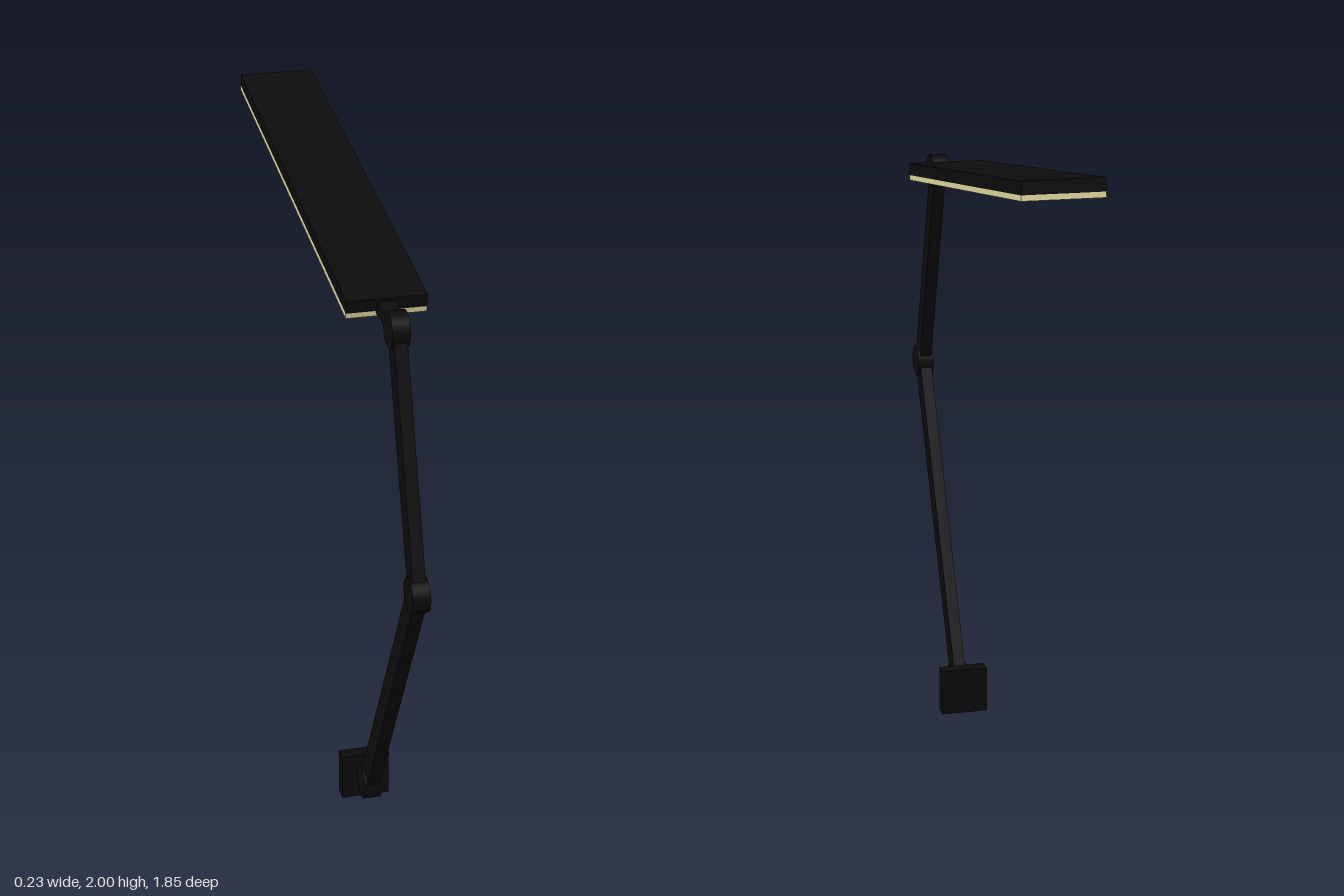
import * as THREE from 'three';

const black = new THREE.MeshStandardMaterial({ color: 0x0c0c0c });
const cream = new THREE.MeshStandardMaterial({ color: 0xe6dfa6 });

// joint centres in the x = 0 plane
const at = (y, z) => new THREE.Vector3(0, y, z);
const BASE = at(0.083, 0.352), ELBOW = at(1.045, 0.88), WRIST = at(1.745, 0.63);

export function createModel() {
  const group = new THREE.Group();

  const add = (name, geometry, material = black, parent = group) => {
    const mesh = new THREE.Mesh(geometry, material);
    mesh.name = name;
    parent.add(mesh);
    return mesh;
  };

  // flat bar between two joints
  const bar = (name, a, b, width, depth) => {
    const d = b.clone().sub(a);
    const mesh = add(name, new THREE.BoxGeometry(width, d.length(), depth));
    mesh.position.copy(a).lerp(b, 0.5);
    mesh.rotation.x = Math.atan2(d.z, d.y);
  };

  // disc hinge with its axis along x
  const hinge = (name, p) => {
    const geometry = new THREE.CylinderGeometry(0.052, 0.052, 0.052, 32).rotateZ(Math.PI / 2);
    add(name, geometry).position.copy(p);
  };

  // wall plate
  add('mountPlate', new THREE.BoxGeometry(0.15, 0.15, 0.045)).position.set(0, 0.075, 0.282);

  // folding arm
  bar('lowerArm', BASE, ELBOW, 0.038, 0.073);
  bar('upperArm', ELBOW, WRIST, 0.038, 0.068);
  hinge('baseHinge', BASE);
  hinge('elbowHinge', ELBOW);
  hinge('headHinge', WRIST);

  // lamp head, tilted up about the head hinge; local -z runs along the panel
  const head = new THREE.Group();
  head.name = 'lampHead';
  head.position.copy(WRIST);
  head.rotation.x = 0.142;
  group.add(head);

  const length = 1.452, start = -0.113;
  const housing = add('headHousing', new THREE.BoxGeometry(0.234, 0.038, length), black, head);
  housing.position.set(0, 0.012, start - length / 2);
  const panel = add('lightPanel', new THREE.BoxGeometry(0.234, 0.016, length), cream, head);
  panel.position.set(0, -0.015, start - length / 2);

  // neck, widening towards the head
  const neckShape = new THREE.Shape([
    new THREE.Vector2(-0.022, 0), new THREE.Vector2(0.022, 0),
    new THREE.Vector2(0.031, 0.125), new THREE.Vector2(-0.031, 0.125),
  ]);
  const neckGeometry = new THREE.ExtrudeGeometry(neckShape, { depth: 0.036, bevelEnabled: false });
  neckGeometry.rotateX(-Math.PI / 2);
  add('neck', neckGeometry, black, head).position.set(0, -0.014, 0);

  return group;
}
